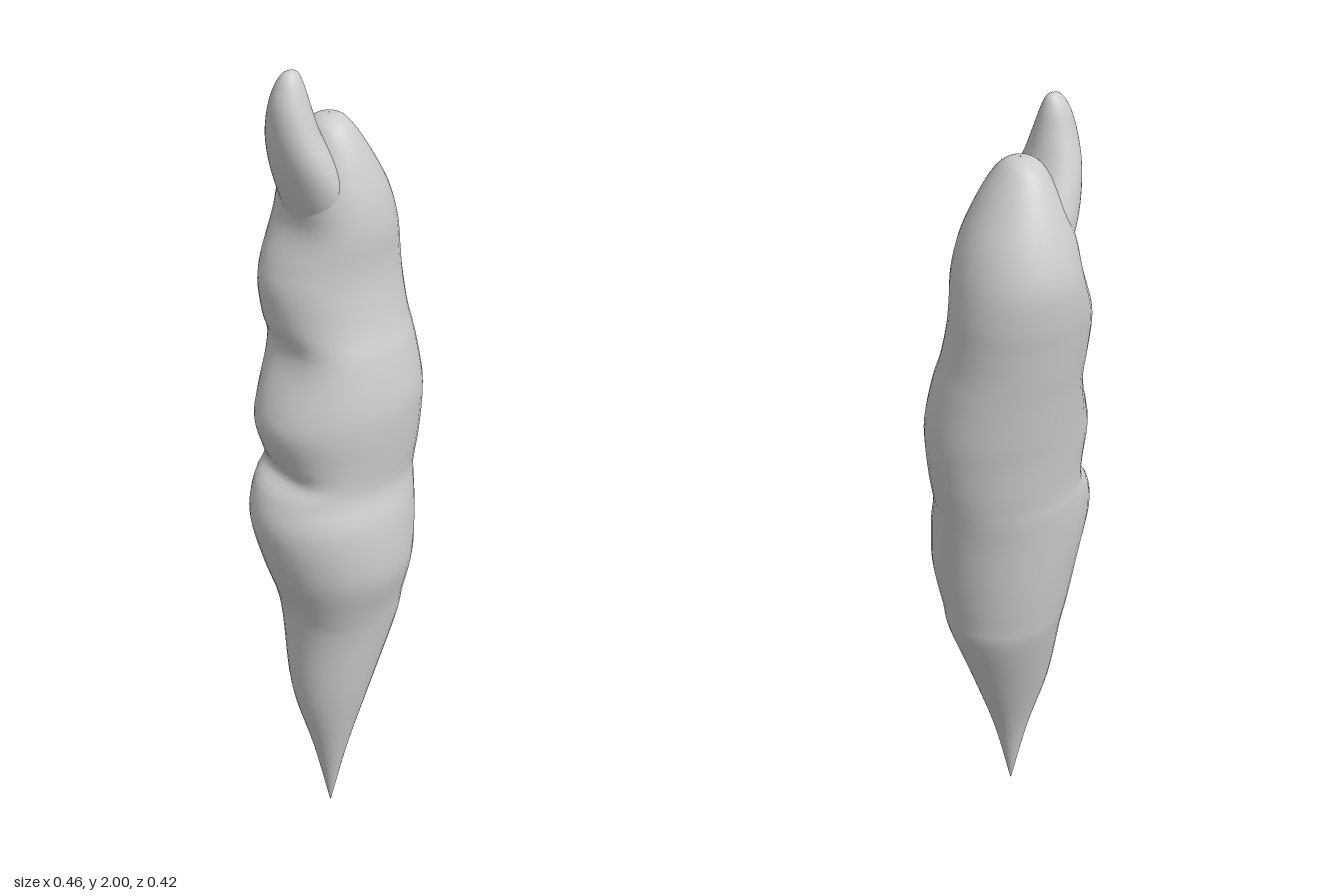
import * as THREE from 'three';

// Rows: y, left x, right x, back z, front z, depth of the crease on the left side
const BODY = [
  [0, -0.046, -0.044, 0.054, 0.056, 0],
  [0.2, -0.09, 0.0, 0.01, 0.1, 0],
  [0.4, -0.14, 0.07, -0.05, 0.14, 0],
  [0.6, -0.145, 0.148, -0.105, 0.168, 0.01],
  [0.68, -0.155, 0.163, -0.12, 0.182, 0.02],
  [0.8, -0.2, 0.18, -0.135, 0.21, 0],
  [0.93, -0.23, 0.192, -0.146, 0.2, 0],
  [1.01, -0.205, 0.2, -0.15, 0.175, 0.015],
  [1.05, -0.155, 0.207, -0.15, 0.17, 0.055],
  [1.1, -0.175, 0.215, -0.153, 0.172, 0.025],
  [1.18, -0.2, 0.223, -0.16, 0.175, 0],
  [1.25, -0.18, 0.225, -0.168, 0.17, 0.005],
  [1.35, -0.125, 0.215, -0.18, 0.145, 0.04],
  [1.42, -0.142, 0.205, -0.19, 0.12, 0.01],
  [1.5, -0.147, 0.2, -0.2, 0.1, 0],
  [1.56, -0.125, 0.197, -0.206, 0.092, 0.01],
  [1.64, -0.08, 0.185, -0.205, 0.09, 0.03],
  [1.72, -0.08, 0.158, -0.18, 0.075, 0.01],
  [1.8, -0.06, 0.113, -0.14, 0.045, 0],
  [1.855, -0.035, 0.075, -0.105, 0.015, 0],
  [1.88, -0.01, 0.05, -0.075, -0.015, 0],
  [1.886, 0.019, 0.021, -0.046, -0.044, 0],
];
const HORN = [
  [1.52, 0.0, 0.05, -0.08, -0.02, 0],
  [1.6, -0.055, 0.08, -0.12, 0.02, 0],
  [1.68, -0.083, 0.07, -0.145, 0.05, 0],
  [1.74, -0.103, 0.05, -0.148, 0.055, 0],
  [1.8, -0.12, 0.015, -0.135, 0.045, 0],
  [1.86, -0.13, -0.018, -0.115, 0.025, 0],
  [1.92, -0.13, -0.037, -0.09, 0.005, 0],
  [1.965, -0.117, -0.05, -0.073, -0.012, 0],
  [1.992, -0.1, -0.062, -0.056, -0.027, 0],
  [2, -0.081, -0.079, -0.042, -0.04, 0],
];

// Smooth spline through one column of the rows
function sample(rows, t, k) {
  const i = Math.min(Math.floor(t), rows.length - 2), u = t - i;
  const p = (n) => rows[Math.max(0, Math.min(rows.length - 1, n))][k];
  const a = p(i - 1), b = p(i), c = p(i + 1), d = p(i + 2);
  return b + 0.5 * u * (c - a + u * (2 * a - 5 * b + 4 * c - d + u * (3 * (b - c) + d - a)));
}

// Loft of oval rings, with creases pressed into the left side only
function loft(name, rows, steps = 5, sides = 40) {
  const pos = [], index = [], rings = (rows.length - 1) * steps;
  for (let i = 0; i <= rings; i++) {
    const [y, x0, x1, z0, z1, crease] = [0, 1, 2, 3, 4, 5].map((k) => sample(rows, i / steps, k));
    const left = x0 - crease;
    const cx = (left + x1) / 2, cz = (z0 + z1) / 2, rx = (x1 - left) / 2, rz = (z1 - z0) / 2;
    for (let j = 0; j < sides; j++) {
      const a = (j / sides) * Math.PI * 2, c = Math.cos(a);
      const dent = crease * Math.max(0, -c) ** 3;
      pos.push(cx + rx * c + dent, y, cz + rz * Math.sin(a));
      if (i < rings) {
        const p = i * sides + j, q = i * sides + (j + 1) % sides;
        index.push(p, p + sides, q, q, p + sides, q + sides);
      }
    }
  }
  const geo = new THREE.BufferGeometry();
  geo.setAttribute('position', new THREE.Float32BufferAttribute(pos, 3));
  geo.setIndex(index);
  geo.computeVertexNormals();
  const mesh = new THREE.Mesh(geo, new THREE.MeshStandardMaterial({ color: 0xcccccc }));
  mesh.name = name;
  return mesh;
}

export function createModel() {
  const group = new THREE.Group();
  group.name = 'lumpySpike';
  group.add(loft('body', BODY), loft('topHorn', HORN));
  return group;
}
